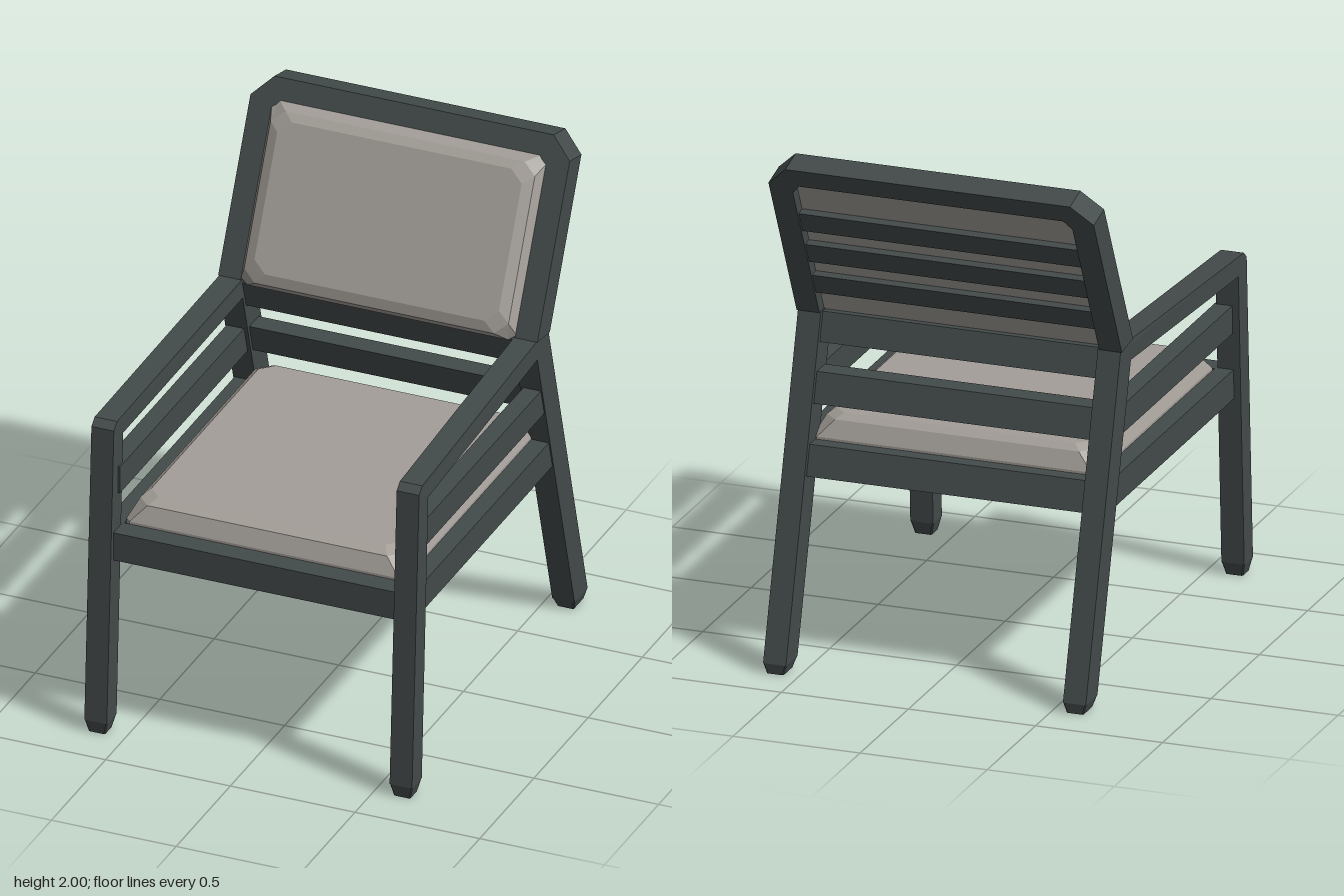
import * as THREE from 'three';

const frame = new THREE.MeshStandardMaterial({ color: 0x434a4a });
frame.name = 'dark frame';
const fabric = new THREE.MeshStandardMaterial({ color: 0xa39e98 });
fabric.name = 'grey fabric';
const lerp = THREE.MathUtils.lerp;

// local (u, v, w) to model space: upright solids, and the leaning back plane
const upright = (u, v, w) => [u, w, -v];
const leaning = (u, s, w) => [
  u,
  lerp(lerp(1.315, 2.0, s), lerp(1.30, 1.973, s), -w),
  lerp(lerp(-0.36, -0.695, s), lerp(-0.475, -0.802, s), -w),
];

// stack of chamfered rectangles [u0, u1, v0, v1, w, cornerU, cornerV]
function loft(levels, map) {
  const rings = levels.map(([a, b, c, d, w, e = 0.004, f = e]) => [
    [a + e, c], [b - e, c], [b, c + f], [b, d - f],
    [b - e, d], [a + e, d], [a, d - f], [a, c + f],
  ].map(([u, v]) => map(u, v, w)));
  const pos = [];
  const tri = (...pts) => pts.forEach((p) => pos.push(...p));
  for (let i = 0; i < rings.length - 1; i++) {
    for (let j = 0; j < 8; j++) {
      const k = (j + 1) % 8, p = rings[i], q = rings[i + 1];
      tri(p[j], p[k], q[k]);
      tri(p[j], q[k], q[j]);
    }
  }
  const lo = rings[0], hi = rings[rings.length - 1];
  for (let j = 1; j < 7; j++) {
    tri(lo[0], lo[j + 1], lo[j]);
    tri(hi[0], hi[j], hi[j + 1]);
  }
  const g = new THREE.BufferGeometry();
  g.setAttribute('position', new THREE.Float32BufferAttribute(pos, 3));
  g.computeVertexNormals();
  return g;
}

// extrude an outline one unit deep, then move each vertex by a rule
function bentExtrude(points, map) {
  const shape = new THREE.Shape(points.map(([x, y]) => new THREE.Vector2(x, y)));
  let g = new THREE.ExtrudeGeometry(shape, { depth: 1, bevelEnabled: false });
  if (g.index) g = g.toNonIndexed();
  const p = g.attributes.position;
  for (let i = 0; i < p.count; i++) p.setXYZ(i, ...map(p.getX(i), p.getY(i), p.getZ(i)));
  g.computeVertexNormals();
  return g;
}

export function createModel() {
  const model = new THREE.Group();
  const add = (name, geometry, material) => {
    const m = new THREE.Mesh(geometry, material);
    m.name = name;
    model.add(m);
  };
  const box = (name, x0, x1, y0, y1, z0, z1) => {
    const g = new THREE.BoxGeometry(x1 - x0, y1 - y0, z1 - z0);
    g.translate((x0 + x1) / 2, (y0 + y1) / 2, (z0 + z1) / 2);
    add(name, g, frame);
  };

  // side frames: front leg, armrest and rear leg in one outline of (z, y)
  const outline = [
    [0.835, 0.05], [0.77, 1.25], [0.74, 1.275], [-0.36, 1.315], [-0.475, 1.30],
    [-0.835, 0.04], [-0.715, 0.04], [-0.37, 1.235], [0.685, 1.2], [0.745, 0.05],
  ];
  for (const side of [1, -1]) {
    const name = side > 0 ? 'left' : 'right';
    const pts = outline.map(([z, y]) => [-side * z, y]);
    add(name + 'SideFrame', bentExtrude(pts, (a, y, w) => {
      const z = -side * a;
      const outer = lerp(0.635, 0.657, THREE.MathUtils.clamp((z + 0.4) / 1.1, 0, 1));
      return [side * (outer - 0.09 * (1 - w)), y, z];
    }), frame);

    // tapered feet
    const foot = (x0, x1, z0, z1, y, shift) => {
      const [a, b] = side > 0 ? [x0, x1] : [-x1, -x0];
      return loft([
        [a + 0.012, b - 0.012, -z1 + 0.012 - shift, -z0 - 0.012 - shift, 0],
        [a, b, -z1, -z0, y],
      ], upright);
    };
    add(name + 'FrontFoot', foot(0.567, 0.657, 0.745, 0.835, 0.05, 0.002), frame);
    add(name + 'RearFoot', foot(0.545, 0.635, -0.835, -0.715, 0.04, -0.006), frame);

    // side rails
    const rail = (label, y0, y1, zBack, zFront) => {
      const [a, b] = side > 0 ? [0.56, 0.63] : [-0.63, -0.56];
      box(name + label, a, b, y0, y1, zBack, zFront);
    };
    rail('SeatRail', 0.71, 0.825, -0.53, 0.75);
    rail('MiddleRail', 0.97, 1.08, -0.46, 0.73);
  }

  // front rail and rear rails, the latter leaning with the rear legs
  box('frontSeatRail', -0.57, 0.57, 0.71, 0.825, 0.69, 0.775);
  [[0.71, 0.825], [0.97, 1.085], [1.19, 1.30]].forEach(([y0, y1], i) => {
    const level = (y) => {
      const z = -0.385 - (1.24 - y) * 0.287;
      return [-0.56, 0.56, -z, -z + 0.085, y];
    };
    add('rearRail' + (i + 1), loft([level(y0), level(y1)], upright), frame);
  });

  // backrest: arched frame with clipped corners
  const half = [[0.55, 0], [0.64, 0], [0.64, 0.89], [0.56, 1]];
  const inner = [[0.52, 0.89], [0.55, 0.84]];
  const flip = (list) => list.map(([x, y]) => [-x, y]).reverse();
  add('backFrame', bentExtrude(
    [...half, ...flip(half), ...flip(inner), ...inner],
    (x, s, w) => leaning(x, s, w - 1),
  ), frame);

  // slats behind the back cushion
  for (let i = 0; i < 3; i++) {
    const s = 0.135 + i * 0.215;
    add('backSlat' + (i + 1), loft([
      [-0.555, 0.555, s, s + 0.12, -0.92],
      [-0.555, 0.555, s, s + 0.12, -0.55],
    ], leaning), frame);
  }

  // cushions
  add('seatCushion', loft([
    [-0.56, 0.56, -0.69, 0.53, 0.722, 0.02],
    [-0.56, 0.56, -0.69, 0.53, 0.835, 0.02],
    [-0.53, 0.53, -0.66, 0.50, 0.9, 0.05],
    [-0.505, 0.505, -0.615, 0.47, 0.92, 0.05],
  ], upright), fabric);
  add('backCushion', loft([
    [-0.553, 0.553, -0.02, 0.888, -0.6, 0.02],
    [-0.553, 0.553, -0.02, 0.888, -0.05, 0.03],
    [-0.53, 0.53, 0.02, 0.86, 0.35, 0.05, 0.06],
    [-0.49, 0.49, 0.08, 0.82, 0.5, 0.05, 0.06],
  ], leaning), fabric);

  return model;
}
